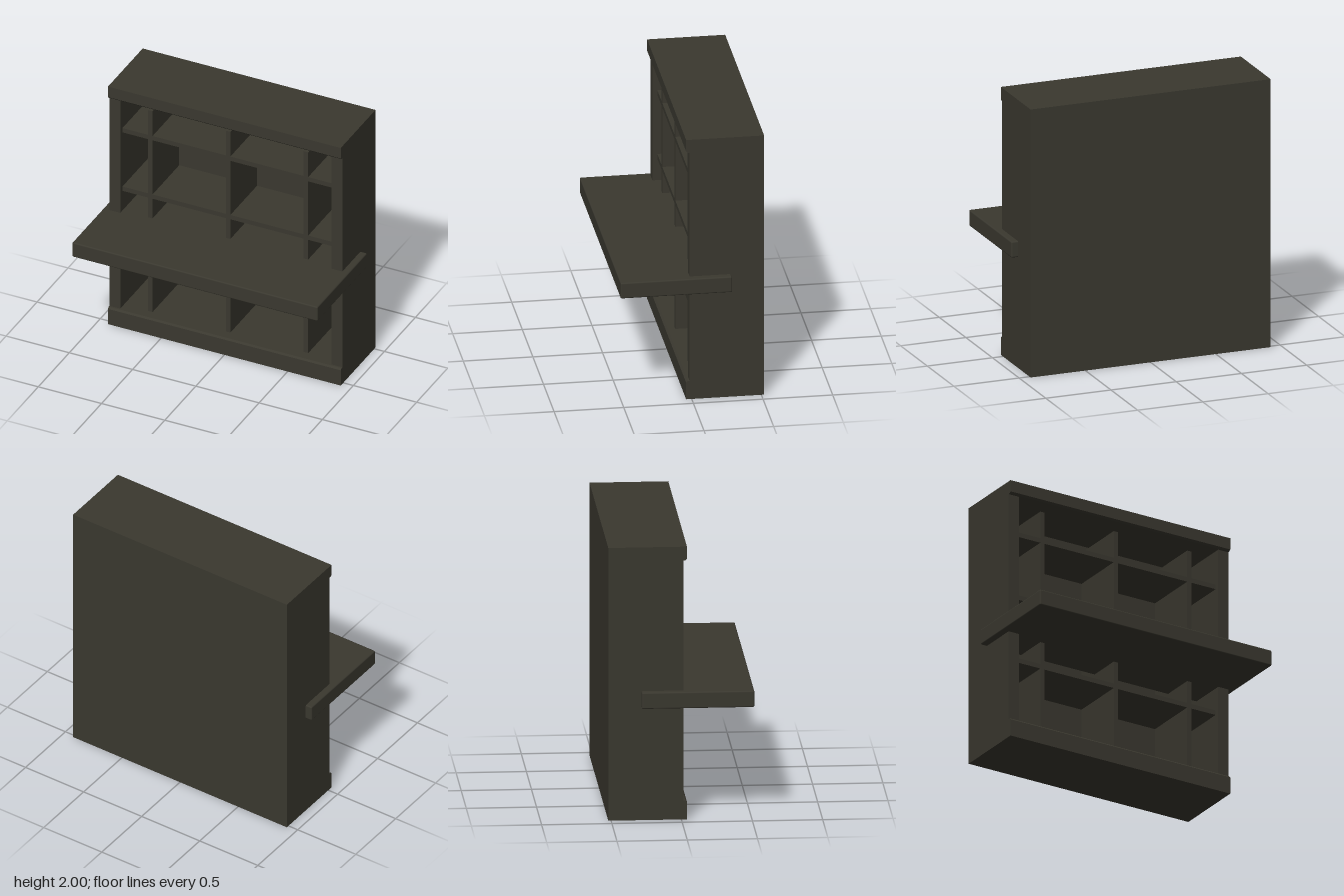
import * as THREE from 'three';
import { RoundedBoxGeometry } from 'three/addons/geometries/RoundedBoxGeometry.js';

export function createModel() {
  const model = new THREE.Group();
  model.name = 'shelfCounter';
  const wood = new THREE.MeshStandardMaterial({ color: 0x3a382f });
  wood.name = 'darkWood';

  const add = (name, geometry) => {
    const mesh = new THREE.Mesh(geometry, wood);
    mesh.name = name;
    model.add(mesh);
    return mesh;
  };

  // Box given by its limits on each axis
  const box = (name, [x0, x1], [y0, y1], [z0, z1]) =>
    add(name, new THREE.BoxGeometry(x1 - x0, y1 - y0, z1 - z0))
      .position.set((x0 + x1) / 2, (y0 + y1) / 2, (z0 + z1) / 2);

  // Full-width slab whose overhanging lip has one chamfered edge at lipY
  const slab = (name, outerY, lipY) => {
    const c = 0.012 * Math.sign(outerY - lipY);
    const profile = new THREE.Shape([
      [-0.52, outerY], [0.04, outerY], [0.04, lipY + c], [0.028, lipY], [-0.52, lipY],
    ].map(([z, y]) => new THREE.Vector2(z, y)));
    const geometry = new THREE.ExtrudeGeometry(profile, { depth: 1.84, bevelEnabled: false });
    geometry.translate(0, 0, -0.92);
    geometry.rotateY(-Math.PI / 2);
    add(name, geometry);
  };

  // Carcass
  slab('topCap', 2, 1.9);
  slab('basePlinth', 0, 0.14);
  box('leftSide', [0.835, 0.92], [0.14, 1.9], [-0.52, 0.015]);
  box('rightSide', [-0.92, -0.835], [0.14, 1.9], [-0.52, 0.015]);
  box('backPanel', [-0.835, 0.835], [0.14, 1.9], [-0.52, -0.45]);

  // Pigeonhole shelves and upright dividers, set back from the sides
  for (const y of [0.637, 1.13, 1.622]) {
    box('shelf', [-0.835, 0.835], [y - 0.018, y + 0.018], [-0.45, -0.02]);
  }
  for (const x of [-0.615, 0, 0.615]) {
    box('divider', [x - 0.018, x + 0.018], [0.158, 1.848], [-0.45, -0.02]);
  }

  // Projecting counter with softened edges
  add('counter', new RoundedBoxGeometry(1.94, 0.12, 0.8, 2, 0.01)).position.set(0, 0.886, 0.117);

  return model;
}
